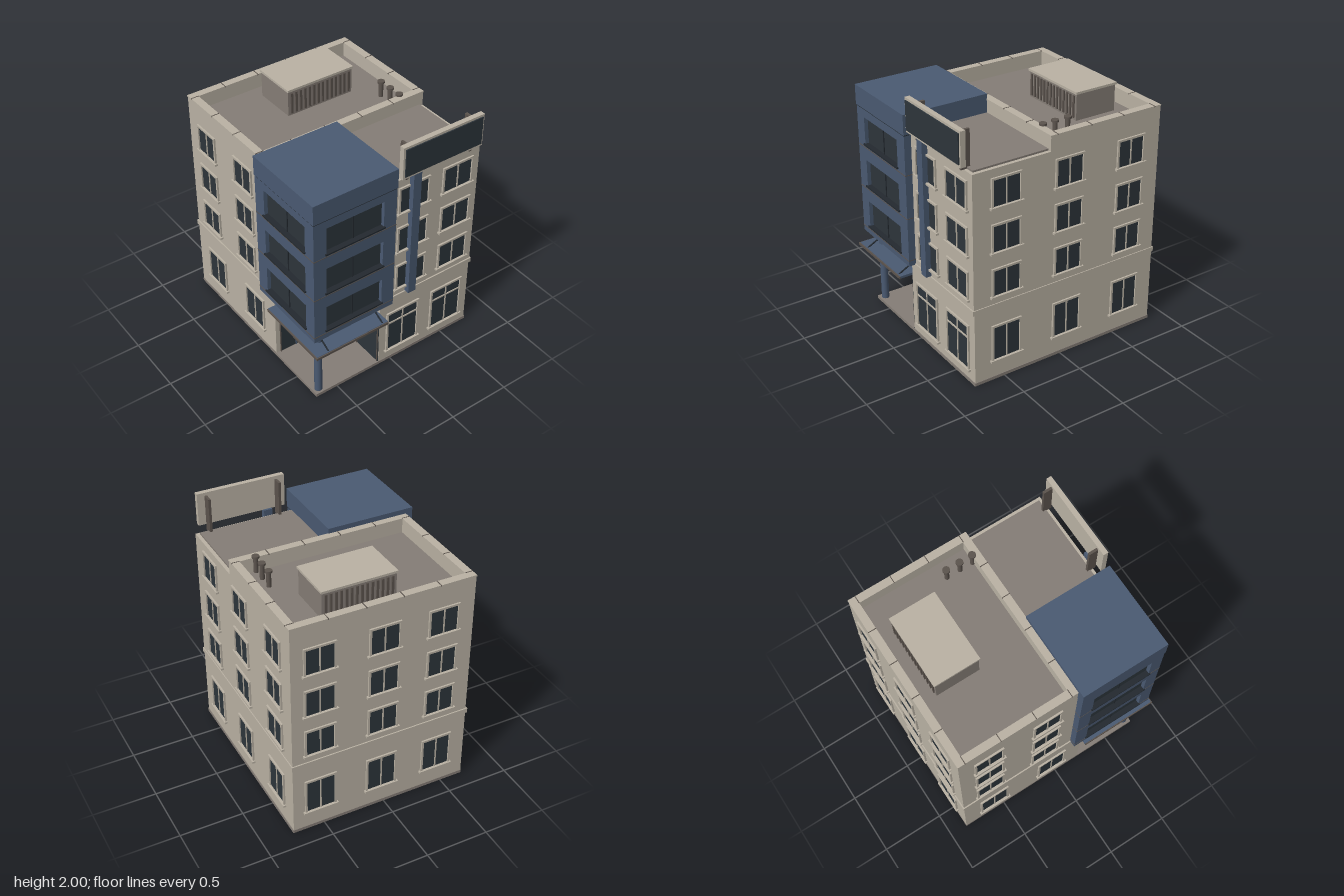
import * as THREE from 'three';

const mat = (name, color) => {
  const m = new THREE.MeshStandardMaterial({ color });
  m.name = name;
  return m;
};

export function createModel() {
  const wall = mat('wall beige', 0xbab2a4), blue = mat('cladding blue', 0x4a5a72);
  const glass = mat('dark glass', 0x2d353b), roof = mat('roof brown', 0x857d76);
  const metal = mat('metal brown', 0x5c544e), dark = mat('charcoal', 0x23292f);
  const root = new THREE.Group();
  root.name = 'cornerBuilding';

  const group = (name, parent = root) => {
    const g = new THREE.Group();
    g.name = name;
    parent.add(g);
    return g;
  };
  const add = (name, geo, m, parent = root) => {
    const mesh = new THREE.Mesh(geo, m);
    mesh.name = name;
    parent.add(mesh);
    return mesh;
  };
  // Box given by its limits on each axis
  const box = (name, m, x0, x1, y0, y1, z0, z1, parent = root) => {
    const b = add(name, new THREE.BoxGeometry(x1 - x0, y1 - y0, z1 - z0), m, parent);
    b.position.set((x0 + x1) / 2, (y0 + y1) / 2, (z0 + z1) / 2);
    return b;
  };
  const cyl = (name, m, r, x, y0, y1, z, parent = root) => {
    const c = add(name, new THREE.CylinderGeometry(r, r, y1 - y0, 20), m, parent);
    c.position.set(x, (y0 + y1) / 2, z);
    return c;
  };

  // Main masses, with the ground floor cut away at the entrance corner
  box('plinth', roof, -0.86, 0.755, 0, 0.025, -0.755, 0.69);
  box('groundFloorLeft', wall, -0.857, 0.22, 0.025, 0.61, -0.75, 0.687);
  box('groundFloorRight', wall, 0.22, 0.75, 0.025, 0.61, -0.75, 0.11);
  box('floorBand', wall, -0.867, 0.765, 0.6, 0.638, -0.757, 0.697);
  box('upperFloorsLeft', wall, -0.857, 0.115, 0.638, 1.685, -0.75, 0.687);
  box('upperFloorsRight', wall, 0.115, 0.755, 0.638, 1.69, -0.75, 0.05);

  // Roof decks and parapet with coping joints
  box('mainRoofDeck', roof, -0.81, 0.07, 1.685, 1.692, -0.71, 0.645);
  box('sideRoofDeck', roof, 0.115, 0.73, 1.69, 1.704, -0.722, 0.05);
  const parapet = group('parapet');
  const strips = [[-0.857, 0.115, 0.632, 0.687], [-0.857, 0.115, -0.75, -0.695],
    [-0.857, -0.802, -0.695, 0.632], [0.06, 0.115, -0.695, 0.632]];
  for (const [x0, x1, z0, z1] of strips) {
    box('parapetWall', wall, x0, x1, 1.685, 1.8, z0, z1, parapet);
    box('coping', wall, x0 - 0.003, x1 + 0.003, 1.8, 1.811, z0 - 0.003, z1 + 0.003, parapet);
  }
  for (const x of [-0.8, -0.515, -0.23, 0.06])
    for (const z of [-0.7225, 0.6595])
      box('copingJoint', metal, x - 0.003, x + 0.003, 1.803, 1.813, z - 0.032, z + 0.032, parapet);
  for (const z of [-0.465, -0.18, 0.11, 0.4])
    for (const x of [-0.8295, 0.0875])
      box('copingJoint', metal, x - 0.032, x + 0.032, 1.803, 1.813, z - 0.003, z + 0.003, parapet);

  // Rooftop plant box with upright louvres on both long sides
  const plant = group('roofPlant');
  box('plantBody', roof, -0.692, -0.343, 1.692, 1.897, -0.43, 0.145, plant);
  box('plantCap', wall, -0.702, -0.333, 1.897, 1.915, -0.437, 0.152, plant);
  for (let i = 0; i < 14; i++) {
    const z = -0.4 + i * 0.0395;
    for (const x of [-0.695, -0.34])
      box('louvre', metal, x - 0.006, x + 0.006, 1.71, 1.88, z - 0.009, z + 0.009, plant);
  }
  for (const x of [-0.16, -0.05, 0.055]) {
    cyl('ventPipe', metal, 0.018, x, 1.69, 1.812, -0.57);
    cyl('ventCap', metal, 0.028, x, 1.81, 1.826, -0.57);
  }

  // Windows: local x runs along the wall and local z points outward
  const faces = {
    front: (u) => [u, 0.687, 0], back: (u) => [u, -0.75, Math.PI],
    right: (u) => [0.75, u, Math.PI / 2], left: (u) => [-0.857, u, -Math.PI / 2],
  };
  function addWindow(face, u, y0, w, h, transom, out = 0) {
    const g = group(face + 'Window');
    const [x, z, turn] = faces[face](u);
    g.position.set(x + (face === 'right' ? out : 0), y0, z);
    g.rotation.y = turn;
    const a = w / 2, t = 0.016;
    box('pane', glass, -a + t, a - t, t, h - t, 0, 0.003, g);
    for (const s of [-1, 1]) box('jamb', wall, s * (a - t / 2) - t / 2, s * (a - t / 2) + t / 2, 0, h, 0, 0.014, g);
    box('head', wall, -a + t, a - t, h - t, h, 0, 0.014, g);
    box('mullion', wall, -0.005, 0.005, t, h - t, 0, 0.009, g);
    if (transom) box('transom', wall, -a + t, a - t, transom - 0.006, transom + 0.006, 0, 0.01, g);
    box('sill', wall, -a - 0.012, a + 0.012, 0, 0.016, 0, 0.024, g);
  }
  for (const y of [0.69, 1.04, 1.39]) {
    for (const u of [-0.615, -0.13]) addWindow('front', u, y, 0.24, 0.235);
    for (const u of [-0.156, -0.553]) addWindow('right', u, y, 0.28, 0.235, 0, 0.005);
    for (const u of [0.483, -0.05, -0.595]) addWindow('back', u, y, 0.25, 0.235);
    for (const u of [-0.53, -0.03, 0.44]) addWindow('left', u, y, 0.25, 0.235);
  }
  for (const u of [-0.587, -0.05]) addWindow('front', u, 0.155, 0.255, 0.305);
  for (const u of [0.483, -0.05, -0.595]) addWindow('back', u, 0.155, 0.255, 0.305);
  for (const u of [-0.53, -0.03, 0.44]) addWindow('left', u, 0.155, 0.255, 0.305);
  for (const u of [-0.106, -0.53]) addWindow('right', u, 0.095, 0.305, 0.385, 0.28);

  // Blue corner bay: glazed core behind two pierced wall panels
  const bay = group('cornerBay');
  const depth = 0.03, X = 0.812, Z = 0.742;
  box('bayGlazing', glass, 0.14, X - depth, 0.65, 1.68, 0.06, Z - depth, bay);
  box('bayFloor', blue, 0.115, X, 0.63, 0.65, 0.042, Z, bay);
  box('bayCap', blue, 0.112, 0.816, 1.693, 1.85, 0.039, 0.746, bay);
  box('bayCapJoint', dark, 0.115, X, 1.685, 1.693, 0.042, Z, bay);
  box('bayBackWall', blue, 0.115, X - depth, 0.65, 1.685, 0.042, 0.062, bay);
  box('bayInnerWall', blue, 0.115, 0.142, 0.65, 1.685, 0.042, Z - depth, bay);
  function bayPanel(width, w0, w1) {
    const s = new THREE.Shape([[0, 0.65], [width, 0.65], [width, 1.685], [0, 1.685]].map((p) => new THREE.Vector2(...p)));
    for (const y of [0.7, 1.05, 1.4])
      s.holes.push(new THREE.Path([[w0, y], [w0, y + 0.22], [w1, y + 0.22], [w1, y]].map((p) => new THREE.Vector2(...p))));
    return new THREE.ExtrudeGeometry(s, { depth, bevelEnabled: false });
  }
  add('bayFrontPanel', bayPanel(X - 0.115, 0.107, 0.597), blue, bay).position.set(0.115, 0, Z - depth);
  const side = add('baySidePanel', bayPanel(Z - depth - 0.042, 0.075, 0.562), blue, bay);
  side.rotation.y = Math.PI / 2;
  side.position.set(X - depth, 0, Z - depth);
  for (const y of [0.7, 1.05, 1.4]) {
    box('frontSill', dark, 0.212, 0.72, y - 0.006, y + 0.006, Z - 0.03, Z + 0.012, bay);
    box('sideSill', dark, X - 0.03, X + 0.012, y - 0.006, y + 0.006, 0.142, 0.65, bay);
    box('frontMullion', dark, 0.462, 0.47, y, y + 0.22, Z - 0.031, Z - 0.024, bay);
    box('sideMullion', dark, X - 0.031, X - 0.024, y, y + 0.22, 0.39, 0.398, bay);
    box('floorJoint', metal, 0.113, X + 0.002, y - 0.028, y - 0.022, 0.041, Z + 0.002, bay);
  }

  // Recessed entrance: shopfront glass, door, column
  const entry = group('entrance');
  box('rearGlass', glass, 0.225, 0.748, 0.025, 0.5, 0.11, 0.116, entry);
  box('sideGlass', glass, 0.22, 0.226, 0.025, 0.5, 0.155, 0.65, entry);
  for (const x of [0.49, 0.742]) box('rearMullion', metal, x - 0.004, x + 0.004, 0.025, 0.5, 0.11, 0.122, entry);
  for (const z of [0.157, 0.34, 0.505, 0.648]) box('sideMullion', metal, 0.22, 0.231, 0.025, 0.5, z - 0.003, z + 0.003, entry);
  for (const z of [0.342, 0.508]) box('doorJamb', blue, 0.22, 0.233, 0.025, 0.437, z - 0.004, z + 0.004, entry);
  box('doorHead', blue, 0.22, 0.233, 0.43, 0.437, 0.342, 0.508, entry);
  box('doorHandle', metal, 0.232, 0.24, 0.15, 0.31, 0.418, 0.426, entry);
  cyl('column', blue, 0.03, 0.71, 0.025, 0.6, 0.642, entry);

  // Canopy with edge trim and hanging struts
  const canopy = group('canopy');
  box('canopySlab', blue, 0.222, 0.852, 0.504, 0.523, 0.112, 0.748, canopy);
  box('canopyFrontTrim', metal, 0.222, 0.86, 0.5, 0.52, 0.748, 0.755, canopy);
  box('canopySideTrim', metal, 0.852, 0.86, 0.5, 0.52, 0.112, 0.748, canopy);
  for (const z of [0.155, 0.642]) {
    const strut = cyl('strut', dark, 0.006, 0.785, 0.48, 0.62, z, canopy);
    strut.position.y = 0.548;
    strut.rotation.z = 1.09;
  }

  // Vertical fin and rooftop billboard
  box('fin', blue, 0.755, 0.8, 0.64, 1.74, -0.182, -0.113);
  const board = group('billboard');
  box('boardCase', wall, 0.775, 0.815, 1.738, 2, -0.71, 0.002, board);
  box('boardScreen', glass, 0.815, 0.824, 1.758, 1.982, -0.695, -0.015, board);
  for (const z of [-0.64, -0.07]) box('boardPost', metal, 0.703, 0.776, 1.69, 1.975, z - 0.01, z + 0.01, board);

  return root;
}
